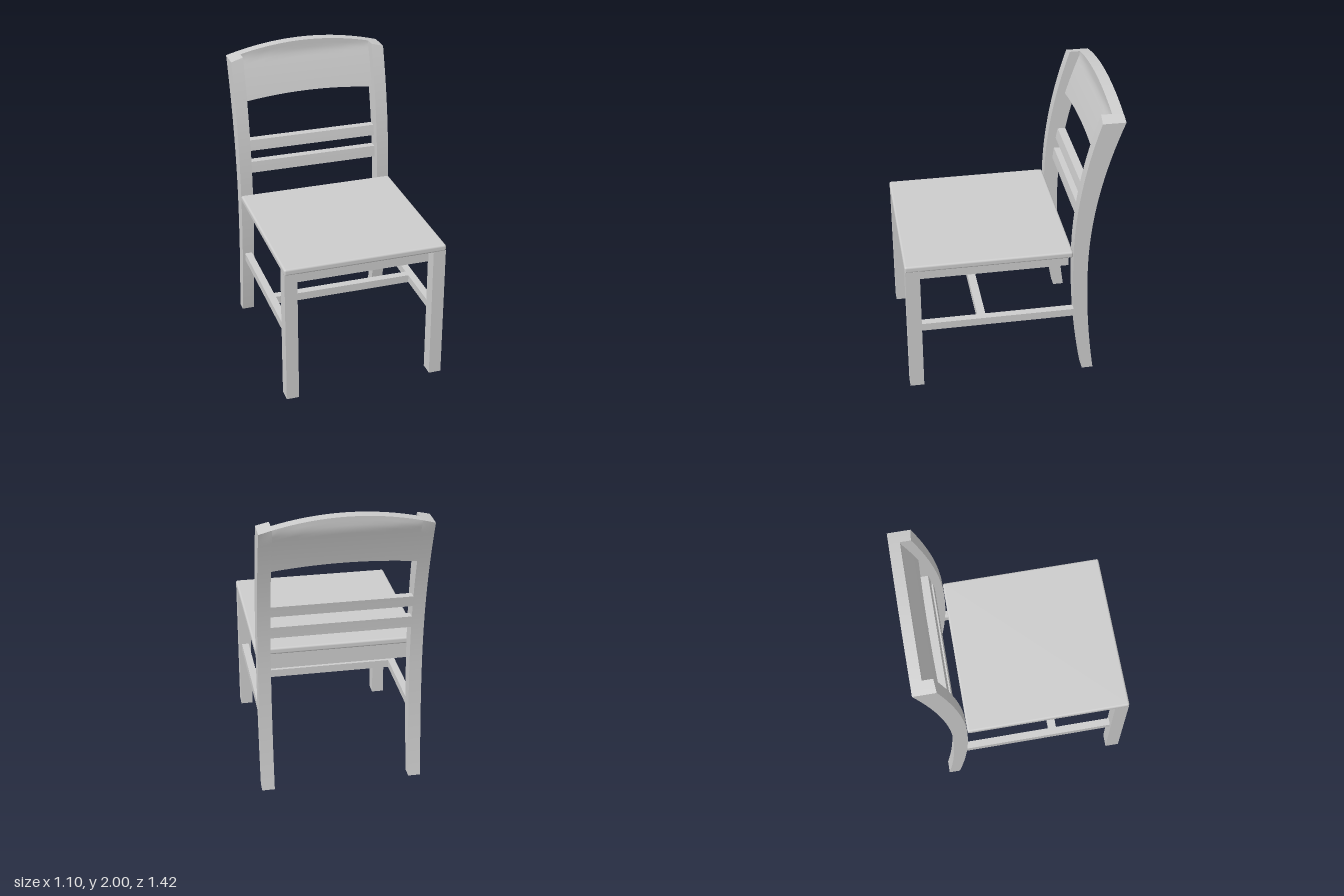
import * as THREE from 'three';
import { RoundedBoxGeometry } from 'three/addons/geometries/RoundedBoxGeometry.js';

const material = new THREE.MeshStandardMaterial({ color: 0xcccccc });

// Side profile of the back: z of the front and rear edges at height y
const frontZ = (y) => -0.404 - (y > 0.95 ? 0.163 : 0.099) * (y - 0.95) ** 2;
const rearZ = (y) => Math.max(-0.708, -0.504 - (y > 0.85 ? 0.178 : 0.091) * (y - 0.85) ** 2);

// Arched top line of the back
const archY = (x) => 2 - 0.08 * (x / 0.55) ** 2;

function add(group, name, geometry) {
  const mesh = new THREE.Mesh(geometry, material);
  mesh.name = name;
  group.add(mesh);
  return mesh;
}

// Straight block given by its limits on each axis
function block(group, name, [x0, x1], [y0, y1], [z0, z1]) {
  const geometry = new THREE.BoxGeometry(x1 - x0, y1 - y0, z1 - z0);
  geometry.translate((x0 + x1) / 2, (y0 + y1) / 2, (z0 + z1) / 2);
  return add(group, name, geometry);
}

// Piece that follows the curve of the back: a box bent between lower/upper lines and front/rear edges
function curved(group, name, [x0, x1], lower, upper, front, rear, nx, ny) {
  const geometry = new THREE.BoxGeometry(1, 1, 1, nx, ny, 1);
  const p = geometry.attributes.position;
  for (let i = 0; i < p.count; i++) {
    const x = THREE.MathUtils.lerp(x0, x1, p.getX(i) + 0.5);
    const y = THREE.MathUtils.lerp(lower(x), upper(x), p.getY(i) + 0.5);
    p.setXYZ(i, x, y, p.getZ(i) > 0 ? front(y) : rear(y));
  }
  geometry.computeVertexNormals();
  return add(group, name, geometry);
}

export function createModel() {
  const chair = new THREE.Group();
  chair.name = 'chair';

  // Seat board with softened edges, over a solid apron block
  const seat = add(chair, 'seat', new RoundedBoxGeometry(1.1, 0.046, 1.112, 3, 0.014));
  seat.position.set(0, 0.962, 0.154);
  block(chair, 'seatApron', [-0.47, 0.47], [0.83, 0.942], [-0.39, 0.62]);

  // Legs, posts and side stretchers on both sides
  for (const [side, s] of [['left', 1], ['right', -1]]) {
    const span = (a, b) => (s > 0 ? [a, b] : [-b, -a]);
    block(chair, side + 'FrontLeg', span(0.463, 0.548), [0, 0.945], [0.612, 0.707]);
    curved(chair, side + 'BackPost', span(0.463, 0.548), () => 0, archY, frontZ, rearZ, 4, 40);
    block(chair, side + 'Stretcher', span(0.48, 0.53), [0.45, 0.505], [-0.44, 0.62]);
  }
  block(chair, 'crossStretcher', [-0.49, 0.49], [0.45, 0.505], [0.175, 0.23]);

  // Two slats flush with the rear of the posts
  for (const [y0, y1] of [[1.12, 1.2], [1.28, 1.355]]) {
    curved(chair, 'backSlat', [-0.47, 0.47], () => y0, () => y1,
      (y) => rearZ(y) + 0.055, rearZ, 1, 4);
  }

  // Broad arched crest rail
  curved(chair, 'crestRail', [-0.464, 0.464], (x) => 1.66 - 0.03 * (x / 0.46) ** 2, archY,
    (y) => rearZ(y) + 0.073, rearZ, 28, 12);

  return chair;
}
